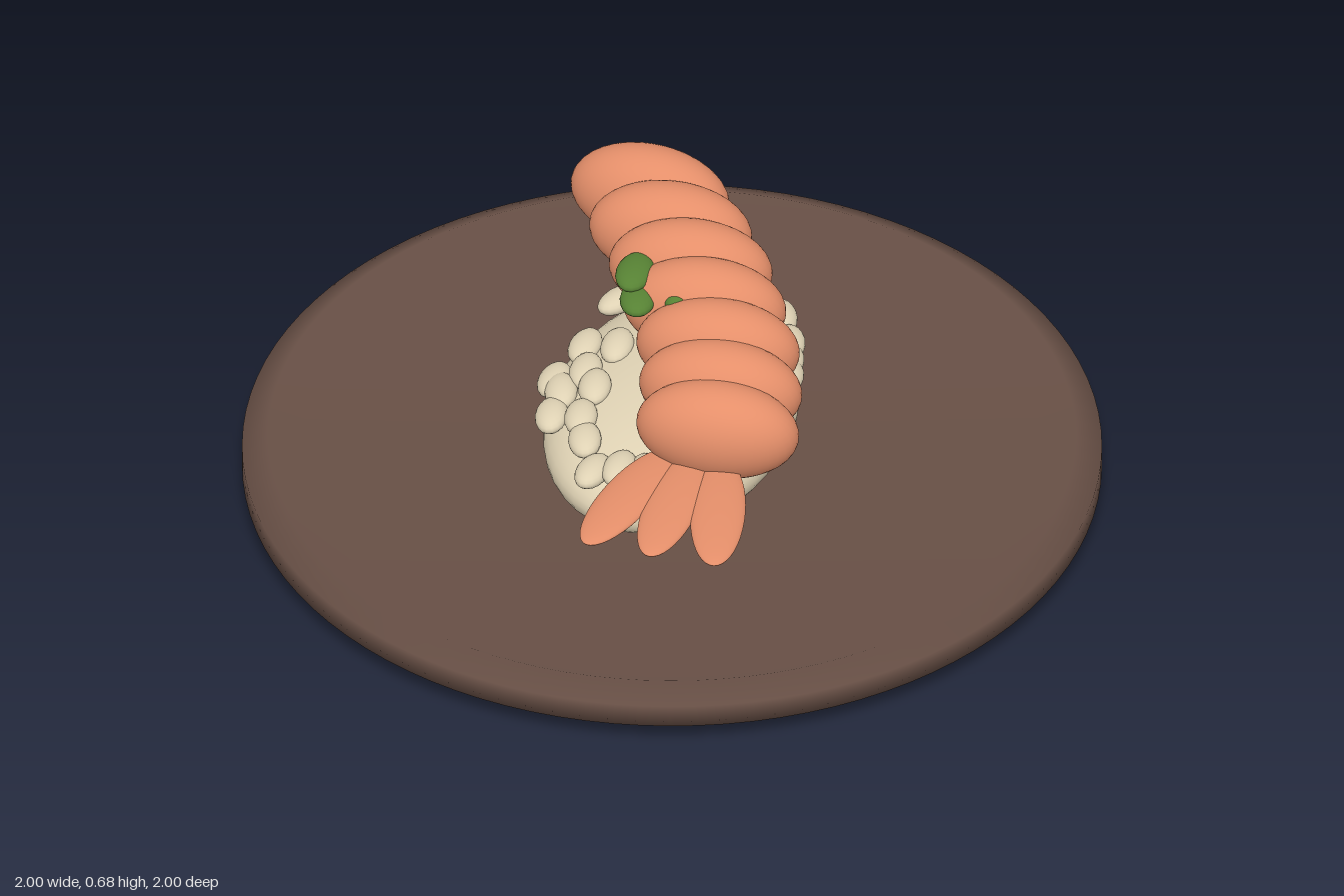
import * as THREE from 'three';

const material = (name, color) => {
  const m = new THREE.MeshStandardMaterial({ color });
  m.name = name;
  return m;
};

export function createModel() {
  const model = new THREE.Group();
  model.name = 'shrimpOnRice';
  const brown = material('plateBrown', 0x674f45);
  const cream = material('riceCream', 0xdfd2b4);
  const coral = material('shrimpCoral', 0xe58f6a);
  const green = material('garnishGreen', 0x578234);

  const fine = new THREE.SphereGeometry(1, 40, 26);
  const small = new THREE.SphereGeometry(1, 18, 12);

  const ellipsoid = (parent, name, geo, mat, pos, size, turn = 0, pitch = 0, roll = 0) => {
    const mesh = new THREE.Mesh(geo, mat);
    mesh.name = name;
    mesh.position.set(...pos);
    mesh.scale.set(...size);
    mesh.rotation.set(pitch, turn, roll, 'YXZ');
    parent.add(mesh);
  };
  const group = (name) => {
    const g = new THREE.Group();
    g.name = name;
    model.add(g);
    return g;
  };

  // Round plate: tapering underside, bevelled lip and a shallow dished top
  const profile = [
    [0, 0], [0.69, 0], [1, 0.063], [1, 0.12], [0.94, 0.15], [0.86, 0.112], [0, 0.112],
  ].map(([r, y]) => new THREE.Vector2(r, y));
  const plate = new THREE.Mesh(new THREE.LatheGeometry(profile, 96), brown);
  plate.name = 'plate';
  model.add(plate);

  // Rice mound
  const rice = group('rice');
  ellipsoid(rice, 'riceMound', fine, cream, [0, 0.217, 0], [0.287, 0.133, 0.44]);

  // Loose grains around the shoulder of the mound: x, z, turn
  const grains = [
    [-0.23, -0.075, 0], [-0.27, 0.05, 0], [-0.24, 0.1, 0.3],
    [-0.24, 0.185, 0.2], [-0.2, 0.03, 0.1], [-0.16, 0.095, 0.2], [-0.15, -0.065, 0.1],
    [-0.165, 0.2, 0.2], [-0.135, 0.275, 0.3], [-0.09, 0.37, -0.1], [-0.03, 0.355, 0],
    [0.04, 0.35, 0.5], [0.12, 0.3, -0.4], [0.2, 0.23, -0.2],
    [0.25, 0.1, 0.1], [0.25, 0.01, -0.1], [0.25, -0.1, 0.1], [0.235, -0.16, 0.2],
    [0.22, -0.225, 0.2], [0.17, -0.24, 0.3], [0.175, -0.32, 0.3], [0.11, -0.365, 0.2],
    [0.055, -0.385, 0.6], [0.1, -0.28, 0.2], [-0.1, -0.39, -0.8],
    [-0.15, -0.35, -0.7], [-0.205, -0.29, -0.5], [0.16, -0.14, 0.1],
  ];
  grains.forEach(([x, z, turn]) => {
    const r2 = Math.min(1, (x / 0.29) ** 2 + (z / 0.44) ** 2);
    const y = 0.287 + 0.065 * (1 - r2);
    ellipsoid(rice, 'riceGrain', small, cream, [x, y, z], [0.039, 0.026, 0.064], turn, 0, -x * 0.8);
  });

  // Shrimp body: overlapping segments rising to the back: x, y, z, turn, pitch
  const shrimp = group('shrimp');
  [
    [0.196, 0.44, 0.314, 0.07, 0.2],
    [0.172, 0.47, 0.2, 0.08, 0.2],
    [0.135, 0.5, 0.088, 0.1, 0.18],
    [0.072, 0.525, -0.022, 0.12, 0.14],
    [0.008, 0.541, -0.135, 0.12, 0.1],
    [-0.071, 0.551, -0.248, 0.08, 0.08],
    [-0.153, 0.553, -0.368, -0.06, 0.05],
  ].forEach(([x, y, z, turn, pitch]) =>
    ellipsoid(shrimp, 'bodySegment', fine, coral, [x, y, z], [0.192, 0.125, 0.107], turn, pitch));

  // Flat fan of three tail blades
  [[0.04, -0.22], [0.148, 0], [0.258, 0.22]].forEach(([x, turn]) =>
    ellipsoid(shrimp, 'tailBlade', fine, coral, [x, 0.373, 0.538], [0.064, 0.019, 0.205], turn));

  // Green garnish flakes
  const garnish = group('garnish');
  [
    [-0.092, 0.603, -0.008, 0.044, 0.072, 0.05],
    [-0.068, 0.574, 0.054, 0.042, 0.062, 0.2],
    [0.03, 0.584, 0.052, 0.034, 0.034, 0.6],
  ].forEach(([x, y, z, rx, rz, turn]) =>
    ellipsoid(garnish, 'garnishFlake', small, green, [x, y, z], [rx, 0.024, rz], turn));

  return model;
}
